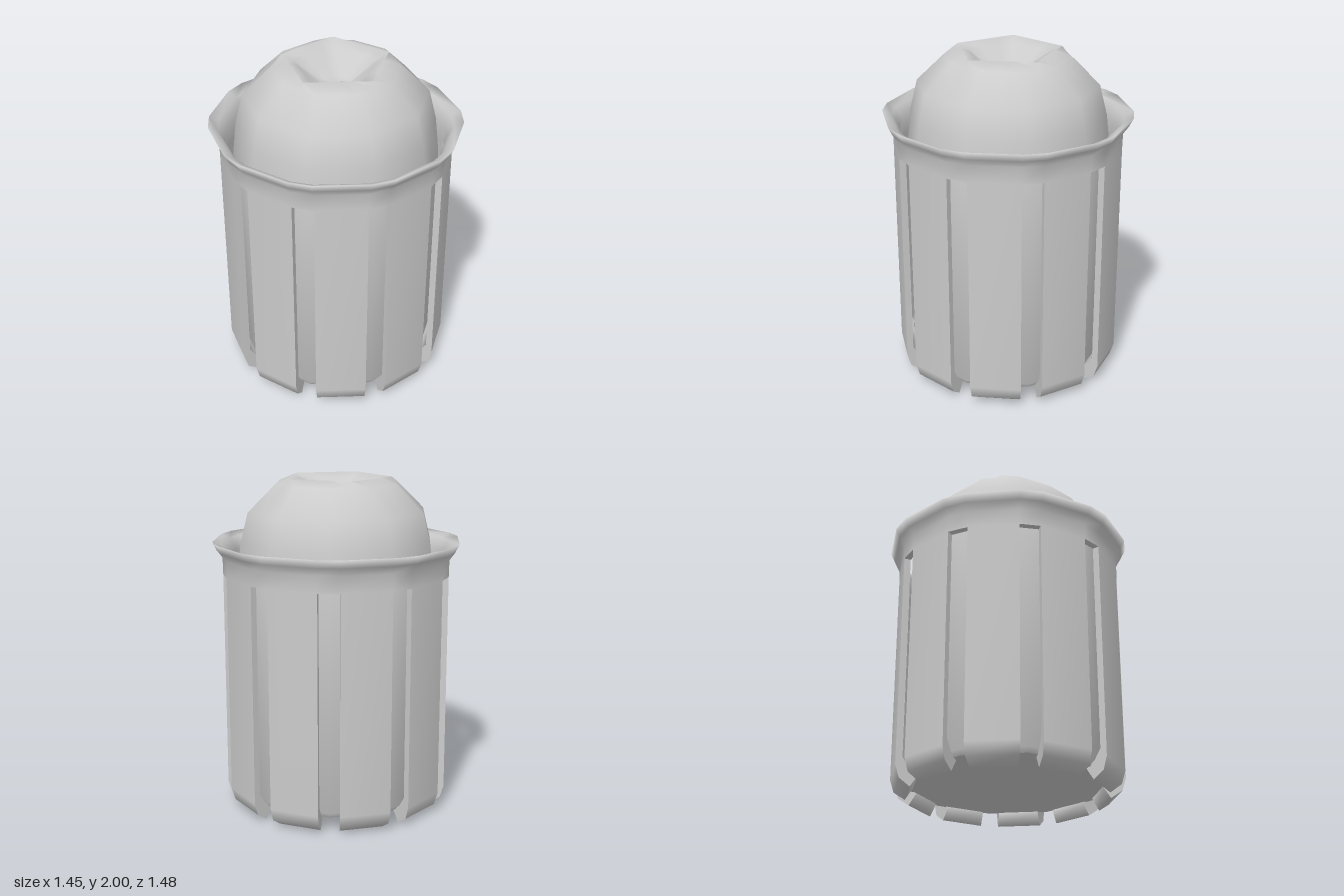
import * as THREE from 'three';
import { toCreasedNormals } from 'three/addons/utils/BufferGeometryUtils.js';

const STAVES = 10;
const SLOT = THREE.MathUtils.degToRad(5.3); // half angle of a slot
const PITCH = (Math.PI * 2) / STAVES;
const SLOT_TOP = 1.43;

// Closed wall section (radius, height), outside going down, inside going up
const WALL = [
  [0.745, 1.625], [0.72, 1.575], [0.687, 1.53], [0.685, SLOT_TOP], [0.685, 0.12], [0.662, 0.045],
  [0.595, 0.0], [0.55, 0.07], [0.605, 0.11], [0.645, 0.17], [0.645, SLOT_TOP], [0.65, 1.53], [0.69, 1.6],
];
const OUT = 3, IN = 10; // section points at the top of the slots

function makeGeometry(positions, index) {
  const g = new THREE.BufferGeometry();
  g.setAttribute('position', new THREE.Float32BufferAttribute(positions, 3));
  g.setIndex(index);
  g.computeVertexNormals();
  return g;
}

// Rim and staves: a smooth ring of wall sections, with the slot faces left out afterwards
function wallGeometry() {
  const n = STAVES * 2, m = WALL.length, pos = [], all = [], kept = [];
  for (let i = 0; i < n; i++) {
    const a = Math.floor(i / 2) * PITCH + (i % 2 ? SLOT : -SLOT);
    for (const [r, y] of WALL) pos.push(r * Math.sin(a), y, r * Math.cos(a));
  }
  for (let i = 0; i < n; i++) {
    for (let j = 0; j < m; j++) {
      const i2 = (i + 1) % n, j2 = (j + 1) % m;
      const a = i * m + j, b = i2 * m + j, c = i2 * m + j2, d = i * m + j2;
      const quad = [a, d, b, b, d, c];
      all.push(...quad);
      const isSlot = i % 2 === 0 && j >= OUT && j < IN;
      if (!isSlot) kept.push(...quad);
    }
  }
  const g = makeGeometry(pos, all);
  g.setIndex(kept);
  return g;
}

// Underside of the rim above one slot
function slotTopGeometry() {
  const pos = [];
  for (const r of [WALL[OUT][0], WALL[IN][0]]) {
    for (const a of [-SLOT, SLOT]) pos.push(r * Math.sin(a), SLOT_TOP, r * Math.cos(a));
  }
  return makeGeometry(pos, [0, 2, 1, 1, 2, 3]);
}

// Radius of a regular polygon in direction a
function polygonRadius(R, sides, a, start) {
  const step = (Math.PI * 2) / sides;
  const t = (((a - start) % step) + step) % step;
  return (R * Math.cos(step / 2)) / Math.cos(t - step / 2);
}

// Liner: ten-sided drum rising to a dome with a five-sided hollow
function linerGeometry() {
  const rings = [ // corner radius, height, sides
    [0, 0.08, 10], [0.59, 0.08, 10], [0.61, 0.11, 10], [0.61, 1.4, 10], [0.585, 1.62, 10],
    [0.54, 1.8, 10], [0.37, 1.965, 10], [0.325, 2, 5], [0.25, 1.97, 5], [0.1, 1.86, 5], [0, 1.86, 5],
  ];
  const n = 20, pos = [], index = [];
  for (const [R, y, sides] of rings) {
    for (let i = 0; i < n; i++) {
      const a = (i / n) * Math.PI * 2;
      const r = polygonRadius(R, sides, a, sides === 10 ? Math.PI / 10 : 0);
      pos.push(r * Math.cos(a), y, -r * Math.sin(a));
    }
  }
  for (let k = 0; k < rings.length - 1; k++) {
    for (let i = 0; i < n; i++) {
      const i2 = (i + 1) % n;
      const a = k * n + i, b = k * n + i2, c = a + n, d = b + n;
      if (k > 0) index.push(a, b, c);
      if (k < rings.length - 2) index.push(b, d, c);
      if (k === 0) index.push();
    }
  }
  return toCreasedNormals(makeGeometry(pos, index), 0.9);
}

export function createModel() {
  const group = new THREE.Group();
  const grey = new THREE.MeshStandardMaterial({ color: 0xcccccc, side: THREE.DoubleSide });
  const add = (name, geometry, rotation = 0) => {
    const mesh = new THREE.Mesh(geometry, grey);
    mesh.name = name;
    mesh.rotation.y = rotation;
    group.add(mesh);
  };

  add('rimAndStaves', wallGeometry());
  add('liner', linerGeometry());

  // Side faces of the staves and slot tops, repeated round the can
  const section = new THREE.Shape(WALL.slice(OUT, IN + 1).map(([r, y]) => new THREE.Vector2(r, y)));
  const side = new THREE.ShapeGeometry(section).rotateY(-Math.PI / 2);
  const slotTop = slotTopGeometry();
  for (let i = 0; i < STAVES; i++) {
    add('staveSide', side, i * PITCH - SLOT);
    add('staveSide', side, i * PITCH + SLOT);
    add('slotTop', slotTop, i * PITCH);
  }
  return group;
}
